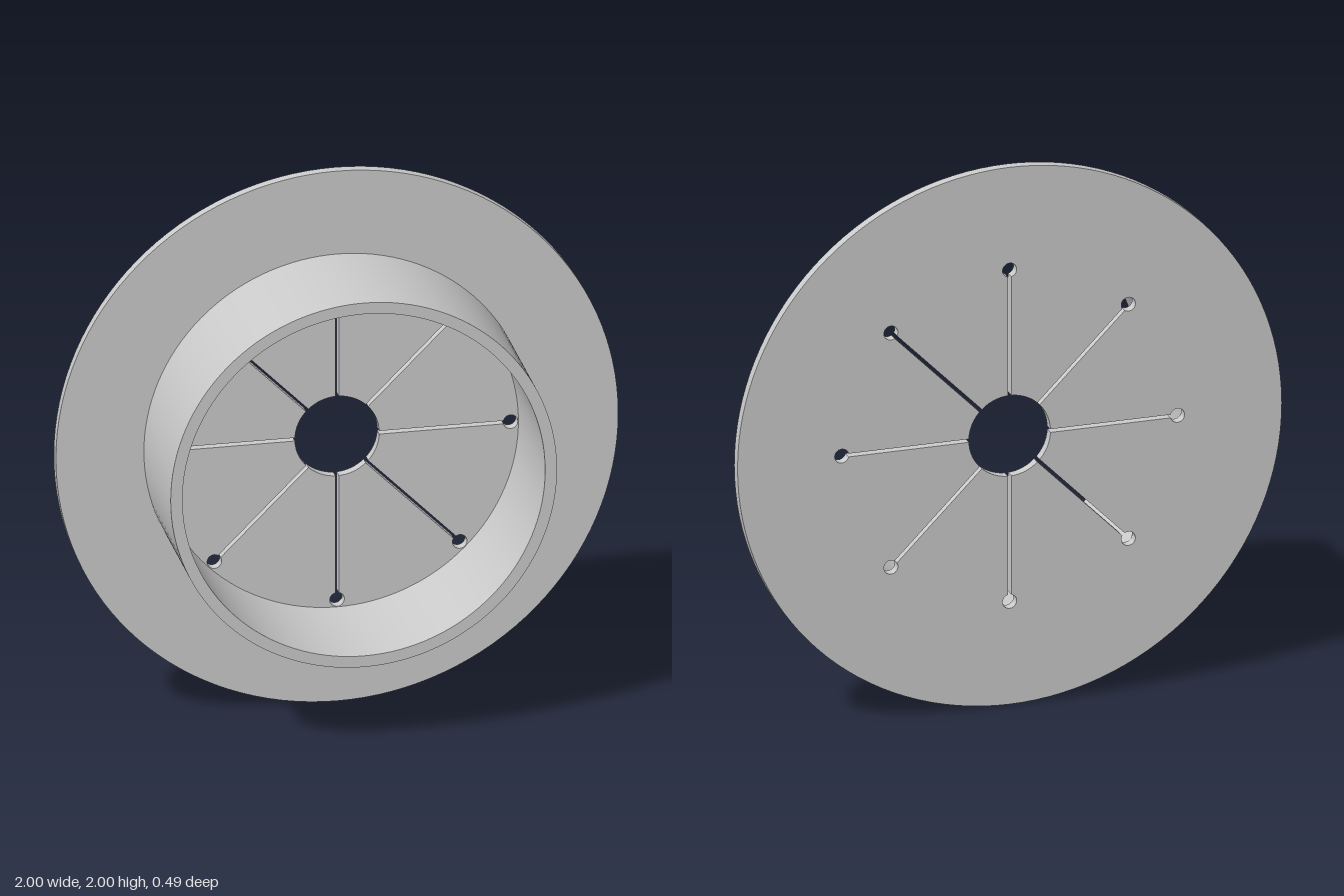
import * as THREE from 'three';
import { toCreasedNormals } from 'three/addons/utils/BufferGeometryUtils.js';

const CENTRE_Y = 1;
const BACK = -0.243, FLANGE_FRONT = -0.207, FRONT = 0.243;
const HUB_R = 0.15, SLOT_HALF = 0.006, END_R = 0.026, END_AT = 0.617, SLOTS = 8;

const polar = (r, a) => new THREE.Vector2(r * Math.cos(a), r * Math.sin(a));

// Points along an arc, both ends included
function arc(r, from, to, steps, centre = new THREE.Vector2()) {
  return Array.from({ length: steps + 1 }, (_, i) =>
    polar(r, from + (to - from) * i / steps).add(centre));
}

const circle = (r, steps = 128) => arc(r, 0, Math.PI * 2, steps).slice(0, -1);

// Central bore with radial slots, each ending in a small round hole
function slottedBore() {
  const points = [];
  const step = Math.PI * 2 / SLOTS;
  const hubGap = Math.asin(SLOT_HALF / HUB_R);
  const endGap = Math.asin(SLOT_HALF / END_R);
  for (let i = 0; i < SLOTS; i++) {
    const a = i * step;
    points.push(
      ...arc(END_R, a - Math.PI + endGap, a + Math.PI - endGap, 20, polar(END_AT, a)),
      ...arc(HUB_R, a + hubGap, a + step - hubGap, 10));
  }
  return points;
}

// Plate or ring with one opening, extruded along z
function extruded(name, outline, opening, z0, z1, material) {
  const shape = new THREE.Shape(outline);
  shape.holes.push(new THREE.Path(opening));
  const geometry = new THREE.ExtrudeGeometry(shape, { depth: z1 - z0, bevelEnabled: false });
  const mesh = new THREE.Mesh(toCreasedNormals(geometry, 0.5), material);
  mesh.name = name;
  mesh.position.set(0, CENTRE_Y, z0);
  return mesh;
}

export function createModel() {
  const group = new THREE.Group();
  group.name = 'slottedFlange';
  const material = new THREE.MeshStandardMaterial({ color: 0xcccccc });
  group.add(
    extruded('flangePlate', circle(1), slottedBore(), BACK, FLANGE_FRONT, material),
    extruded('collar', circle(0.687), circle(0.645), FLANGE_FRONT, FRONT, material));
  return group;
}
